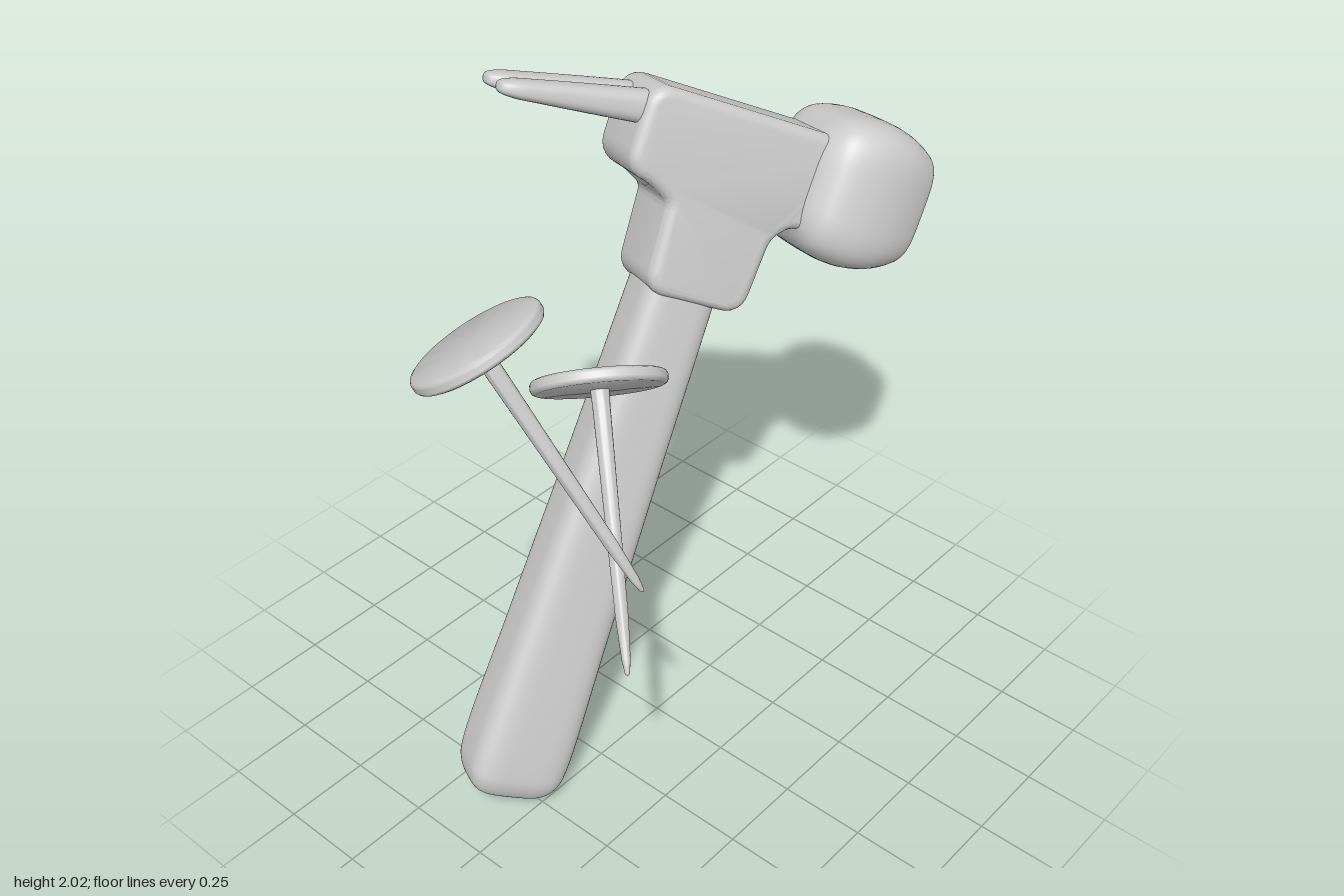
import * as THREE from 'three';
import { toCreasedNormals } from 'three/addons/utils/BufferGeometryUtils.js';

const material = new THREE.MeshStandardMaterial({ color: 0xcccccc });

function addMesh(parent, name, geometry) {
  const mesh = new THREE.Mesh(geometry, material);
  mesh.name = name;
  parent.add(mesh);
  return mesh;
}

// Rounded-square rings along +y; stations are [height, half x, half z]
function loft(stations, power, steps = 40, sides = 48) {
  const curve = new THREE.CatmullRomCurve3(stations.map((s) => new THREE.Vector3(...s)));
  const positions = [], index = [];
  const round = (c) => Math.sign(c) * Math.abs(c) ** (2 / power);
  for (let i = 0; i <= steps; i++) {
    const p = curve.getPoint(i / steps);
    for (let j = 0; j < sides; j++) {
      const t = (j / sides) * Math.PI * 2;
      positions.push(Math.max(p.y, 0) * round(Math.cos(t)), p.x, Math.max(p.z, 0) * round(Math.sin(t)));
      if (i === steps) continue;
      const a = i * sides + j, b = i * sides + ((j + 1) % sides);
      index.push(a, a + sides, b, b, a + sides, b + sides);
    }
  }
  const geometry = new THREE.BufferGeometry();
  geometry.setAttribute('position', new THREE.Float32BufferAttribute(positions, 3));
  geometry.setIndex(index);
  geometry.computeVertexNormals();
  return geometry;
}

// Closed outline with every corner rounded by radius r
function roundedShape(points, r) {
  const pts = points.map((p) => new THREE.Vector2(...p));
  const shape = new THREE.Shape();
  pts.forEach((p, i) => {
    const toward = (q) => p.clone().add(q.clone().sub(p).setLength(Math.min(r, q.distanceTo(p) * 0.45)));
    const a = toward(pts[(i + pts.length - 1) % pts.length]);
    const b = toward(pts[(i + 1) % pts.length]);
    if (i === 0) shape.moveTo(a.x, a.y); else shape.lineTo(a.x, a.y);
    shape.quadraticCurveTo(p.x, p.y, b.x, b.y);
  });
  shape.closePath();
  return shape;
}

function createHammer() {
  const hammer = new THREE.Group();
  hammer.name = 'hammer';

  // Handle, thicker toward its domed lower end
  const handle = addMesh(hammer, 'handle', loft([
    [-1.53, 0, 0], [-1.525, 0.06, 0.045], [-1.505, 0.112, 0.08], [-1.465, 0.137, 0.102],
    [-1.41, 0.145, 0.108], [-1.0, 0.134, 0.105], [-0.5, 0.118, 0.101], [0.1, 0.103, 0.097],
  ], 4, 64));
  handle.position.set(-0.015, 0, 0.008);

  // T-shaped head block with softened edges
  const bevel = 0.028, depth = 0.24;
  const outline = roundedShape([
    [-0.11, 0.02], [0.13, 0.02], [0.14, 0.22], [0.2, 0.28], [0.32, 0.28],
    [0.32, 0.485], [-0.265, 0.485], [-0.265, 0.305], [-0.2, 0.29], [-0.125, 0.25],
  ], 0.035);
  const block = new THREE.ExtrudeGeometry(outline, {
    depth: depth - 2 * bevel, bevelSize: bevel, bevelThickness: bevel, bevelSegments: 5, curveSegments: 6,
  });
  block.translate(0, 0, bevel - depth / 2);
  addMesh(hammer, 'headBlock', toCreasedNormals(block, 0.6));

  // Bulging striking end
  const striker = addMesh(hammer, 'strikingFace', loft([
    [0.2, 0, 0], [0.21, 0.1, 0.1], [0.235, 0.15, 0.15], [0.275, 0.185, 0.185], [0.36, 0.203, 0.203],
    [0.45, 0.195, 0.195], [0.525, 0.168, 0.168], [0.555, 0.148, 0.148], [0.566, 0.12, 0.12], [0.567, 0, 0],
  ], 4, 72));
  striker.rotation.z = -Math.PI / 2;
  striker.position.y = 0.385;

  // Two claw prongs, sloping down to rounded tips
  for (const side of [-1, 1]) {
    const prong = addMesh(hammer, side > 0 ? 'frontClaw' : 'backClaw', loft([
      [0, 0.045, 0.045], [0.15, 0.037, 0.045], [0.3, 0.028, 0.044],
      [0.38, 0.022, 0.038], [0.41, 0.014, 0.024], [0.418, 0, 0],
    ], 2.8, 40, 32));
    prong.rotation.z = Math.PI / 2 + 0.14;
    prong.position.set(-0.25, 0.447, side * 0.055);
  }

  // Lean the hammer and turn its head toward the front
  const up = new THREE.Vector3(0.466, 0.885, 0.01).normalize();
  const side = new THREE.Vector3(0.77, -0.41, 0.49).cross(up).normalize();
  const along = up.clone().cross(side);
  hammer.quaternion.setFromRotationMatrix(new THREE.Matrix4().makeBasis(along, up, side));
  hammer.position.set(0.165, 1.37, -0.08);
  return hammer;
}

// Nail with a flat round head at 'top' and its point at 'tip'
function createNail(name, top, tip) {
  const nail = new THREE.Group();
  nail.name = name;
  const start = new THREE.Vector3(...top), axis = new THREE.Vector3(...tip).sub(start);
  const length = axis.length();
  const lathe = (profile, sides) => toCreasedNormals(
    new THREE.LatheGeometry(profile.map((p) => new THREE.Vector2(...p)), sides), 0.7);

  addMesh(nail, 'nailHead', lathe([
    [0, -0.018], [0.158, -0.018], [0.166, -0.014], [0.17, -0.007],
    [0.17, 0.007], [0.166, 0.014], [0.158, 0.018], [0, 0.018],
  ], 64));
  addMesh(nail, 'nailShaft', lathe([
    [0, -length], [0.006, -length + 0.006], [0.011, -length + 0.04],
    [0.016, -length + 0.14], [0.022, -0.06], [0.024, 0],
  ], 24));

  nail.position.copy(start);
  nail.quaternion.setFromUnitVectors(new THREE.Vector3(0, -1, 0), axis.normalize());
  return nail;
}

export function createModel() {
  const model = new THREE.Group();
  model.name = 'hammerAndNails';
  model.add(
    createHammer(),
    createNail('upperNail', [-0.72, 1.705, 0.1], [-0.577, 1.1, 0.46]),
    createNail('lowerNail', [-0.33, 1.405, 0.1], [-0.635, 0.87, 0.46]),
  );
  return model;
}
